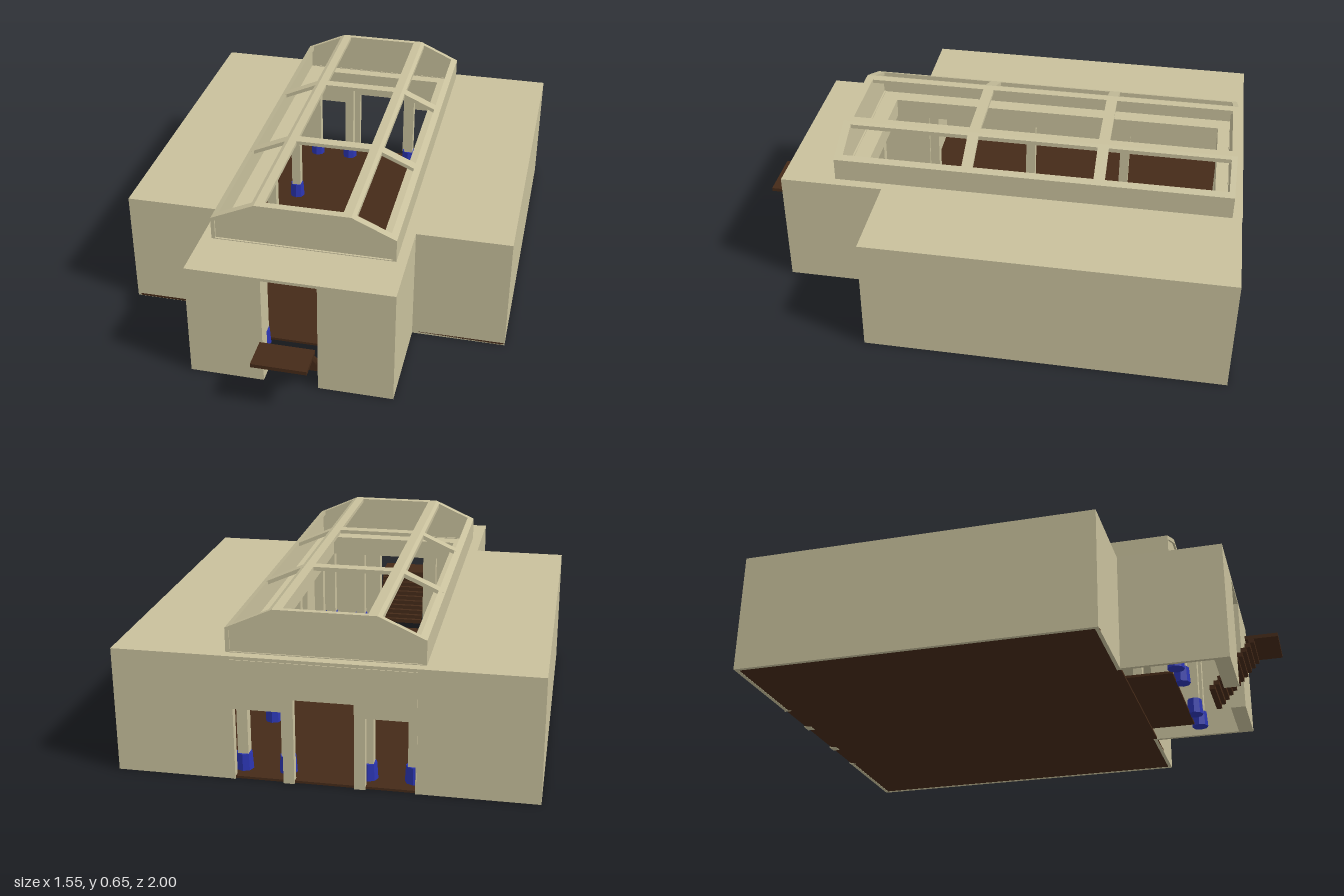
import * as THREE from 'three';

const mat = (color) => new THREE.MeshStandardMaterial({ color, side: THREE.DoubleSide, flatShading: true });

export function createModel() {
  const model = new THREE.Group();
  const stone = mat(0xc8c09c), wood = mat(0x452a18), blue = mat(0x2b35b0);

  const add = (name, geo, material) => {
    const m = new THREE.Mesh(geo, material);
    m.name = name;
    model.add(m);
    return m;
  };
  // Box given by its limits on each axis
  const block = (name, x0, x1, y0, y1, z0, z1, material = stone) =>
    add(name, new THREE.BoxGeometry(x1 - x0, y1 - y0, z1 - z0), material)
      .position.set((x0 + x1) / 2, (y0 + y1) / 2, (z0 + z1) / 2);
  const poly = (pts) => new THREE.Shape(pts.map(([x, y]) => new THREE.Vector2(x, y)));
  // Cross-section in x/y drawn out along z
  const bar = (name, shape, z0, z1) =>
    add(name, new THREE.ExtrudeGeometry(shape, { depth: z1 - z0, bevelEnabled: false }), stone)
      .position.z = z0;
  const rect = (x0, x1, z0, z1) => [[x0, z0], [x1, z0], [x1, z1], [x0, z1]];

  const H = 0.48, W = 0.775, P = 0.4, T = 0.015;
  const zBack = -0.997, zMid = 0.42, zFront = 0.835;

  // Floor of the hall and low platform towards the entrance
  block('floor', -W + 0.005, W - 0.005, 0.001, 0.01, zBack + 0.005, zMid, wood);
  block('platform', -0.28, 0.28, 0.01, 0.02, 0.33, 0.6, wood);

  // Flat roof, T-shaped, with the light well cut out
  const roof = poly([[-W, zBack], [W, zBack], [W, zMid], [P, zMid], [P, zFront],
    [-P, zFront], [-P, zMid], [-W, zMid]]);
  roof.holes.push(poly(rect(-0.28, 0.28, -0.89, 0.52)));
  const slab = add('roof', new THREE.ExtrudeGeometry(roof, { depth: 0.012, bevelEnabled: false }), stone);
  slab.rotation.x = Math.PI / 2;
  slab.position.y = H;

  // Beams around the light well
  const well = poly(rect(-0.345, 0.345, -0.95, 0.585));
  well.holes.push(poly(rect(-0.28, 0.28, -0.89, 0.52)));
  const rim = add('wellBeams', new THREE.ExtrudeGeometry(well, { depth: 0.07, bevelEnabled: false }), stone);
  rim.rotation.x = Math.PI / 2;
  rim.position.y = H - 0.01;

  // Outer walls, mirrored
  for (const s of [-1, 1]) {
    const wall = (name, a, b, z0, z1) =>
      block(name, Math.min(s * a, s * b), Math.max(s * a, s * b), 0, H - 0.012, z0, z1);
    wall('sideWall', W - T, W, zBack, zMid);
    wall('wingFrontWall', P, W - T, zMid - T, zMid);
    wall('porchSideWall', P - T, P, zMid - T, zFront);
    wall('entranceWall', 0.107, P - T, zFront - 0.06, zFront);
    wall('backWall', 0.33, W - T, zBack, zBack + T);
  }

  // Middle of the back wall with three openings
  const back = poly([[-0.33, 0], [-0.33, 0.28], [-0.15, 0.28], [-0.15, 0], [-0.11, 0],
    [-0.11, 0.33], [0.11, 0.33], [0.11, 0], [0.15, 0], [0.15, 0.28], [0.33, 0.28],
    [0.33, 0], [0.335, 0], [0.335, H - 0.012], [-0.335, H - 0.012], [-0.335, 0]]);
  bar('backOpenings', back, -1, -0.97);

  // Columns on blue bases
  const spots = [[0.315, -0.92], [0.315, -0.5], [0.315, -0.08], [0.315, 0.36], [0.315, 0.62],
    [0.17, 0.62], [0.15, -0.92]];
  for (const [x, z] of spots) for (const s of [-1, 1]) {
    block('column', s * x - 0.02, s * x + 0.02, 0.07, H - 0.012, z - 0.02, z + 0.02);
    add('columnBase', new THREE.CylinderGeometry(0.03, 0.034, 0.065, 8), blue)
      .position.set(s * x, 0.043, z);
  }

  // Landing outside the door and steps going down inside
  block('landing', -0.107, 0.107, 0.198, 0.213, 0.87, 1, wood);
  for (let i = 0; i < 11; i++) {
    const z = 0.905 - i * 0.0165, y = 0.2 - i * 0.0182;
    block('step', -0.107, 0.107, Math.max(0, y - 0.0182), y, z - 0.022, z, wood);
  }

  // Skylight: end panels, rafters, ridge bars and low side walls
  const arch = (w, top, k, eave) => [[-w, H], [w, H], [w, eave], [k, top], [-k, top], [-w, eave]];
  const outer = arch(0.36, 0.65, 0.187, 0.572), inner = arch(0.345, 0.635, 0.182, 0.563);
  const z0 = -0.96, z1 = 0.62;
  const ring = () => {
    const r = poly(outer);
    r.holes.push(poly(inner.map(([x, y]) => [x, y === H ? H + 0.003 : y])));
    return r;
  };
  bar('skylightEnd', poly(inner), z0 + 0.005, z0 + 0.02);
  bar('skylightEnd', poly(inner), z1 - 0.025, z1 - 0.008);
  bar('endFrame', ring(), z0, z0 + 0.022);
  bar('endFrame', ring(), z1 - 0.032, z1);
  const rafter = poly([[0.36, 0.572], [0.187, 0.65], [-0.187, 0.65], [-0.36, 0.572],
    [-0.345, 0.563], [-0.182, 0.635], [0.182, 0.635], [0.345, 0.563]]);
  for (const z of [-0.46, 0.062]) bar('rafter', rafter, z, z + 0.044);
  for (const s of [-1, 1]) {
    const side = (pts) => poly(pts.map(([x, y]) => [s * x, y]));
    bar('ridgeBar', side([[0.152, 0.65], [0.187, 0.65], [0.202, 0.643], [0.202, 0.626],
      [0.182, 0.635], [0.152, 0.635]]), z0 + 0.01, z1 - 0.01);
    bar('skylightSideWall', side([[0.36, H], [0.36, 0.572], [0.335, 0.583], [0.335, 0.565],
      [0.345, 0.56], [0.345, H]]), z0 + 0.01, z1 - 0.01);
  }
  return model;
}
